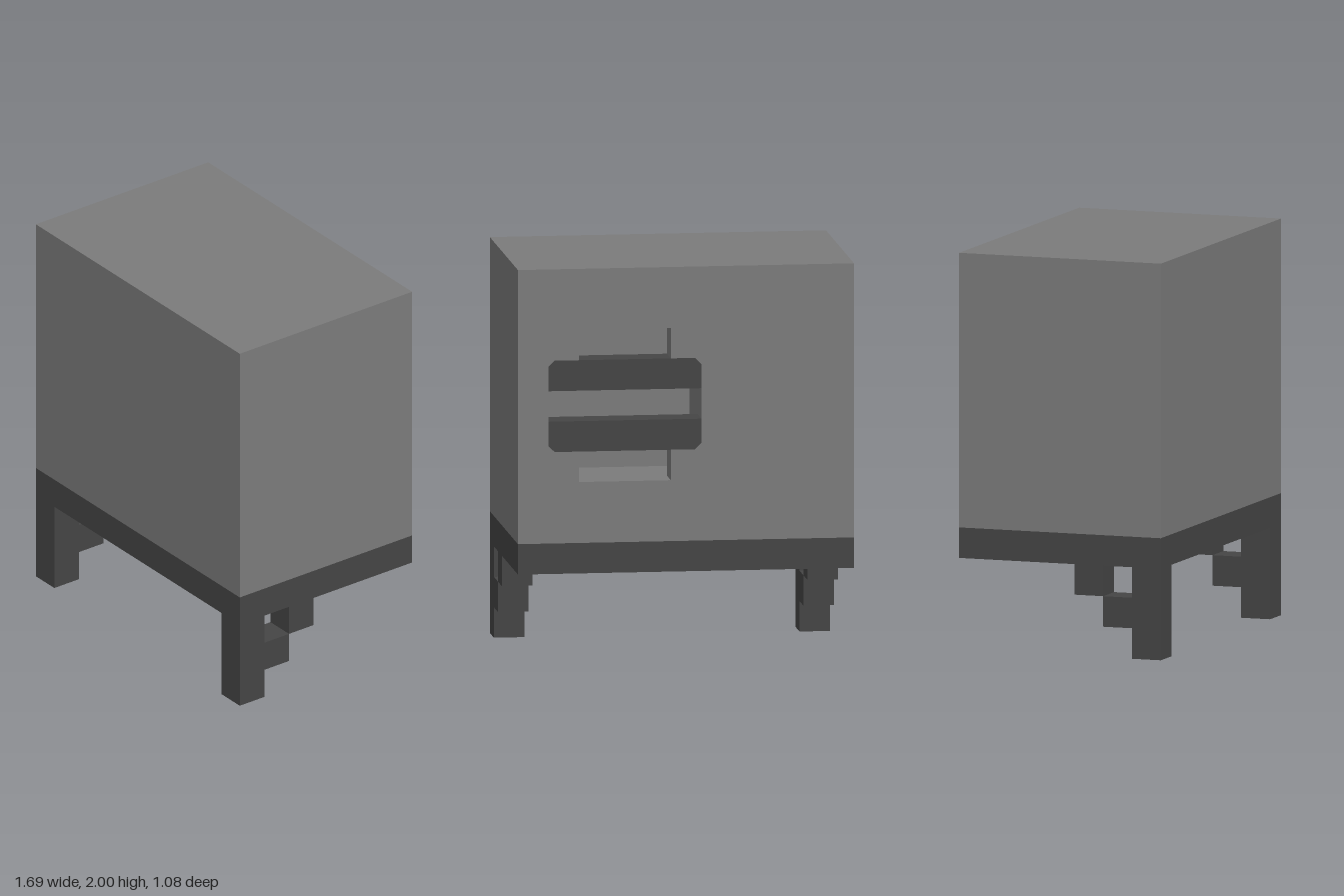
import * as THREE from 'three';

// Everything is laid out on a block grid, 13 blocks tall
const U = 2 / 13;

export function createModel() {
  const casing = new THREE.MeshStandardMaterial({ color: 0x7b7b7b });
  casing.name = 'casing grey';
  const trim = new THREE.MeshStandardMaterial({ color: 0x454545 });
  trim.name = 'dark trim';

  const model = new THREE.Group();
  model.name = 'cabinet';

  const add = (name, geometry, material, parent = model) => {
    const mesh = new THREE.Mesh(geometry, material);
    mesh.name = name;
    parent.add(mesh);
    return mesh;
  };

  // Box given by its low and high corners, in blocks
  const block = (name, [x0, y0, z0], [x1, y1, z1], material, parent) => {
    const g = new THREE.BoxGeometry((x1 - x0) * U, (y1 - y0) * U, (z1 - z0) * U);
    g.translate((x0 + x1) / 2 * U, (y0 + y1) / 2 * U, (z0 + z1) / 2 * U);
    return add(name, g, material, parent);
  };

  // Flat outline extruded from z0 to z1, with an optional hole
  const slab = (name, outline, hole, z0, z1, material) => {
    const pts = (list) => list.map(([x, y]) => new THREE.Vector2(x * U, y * U));
    const shape = new THREE.Shape(pts(outline));
    if (hole) shape.holes.push(new THREE.Path(pts(hole)));
    const g = new THREE.ExtrudeGeometry(shape, { depth: (z1 - z0) * U, bevelEnabled: false });
    g.translate(0, 0, z0 * U);
    return add(name, g, material);
  };

  const rect = (x0, y0, x1, y1) => [[x0, y0], [x1, y0], [x1, y1], [x0, y1]];
  const wall = rect(-5.5, 4, 5.5, 13);

  // Casing: solid front, hollow chamber, then the back wall with its stepped vent
  const c = 0.2;
  const vent = [
    [0.5, 6], [3.5, 6], [3.5, 7], [4.5 - c, 7], [4.5, 7 + c],
    [4.5, 10 - c], [4.5 - c, 10], [3.5, 10], [3.5, 11], [0.5, 11],
    [0.5, 10], [-0.5 + c, 10], [-0.5, 10 - c], [-0.5, 7 + c], [-0.5 + c, 7], [0.5, 7],
  ];
  block('casingFront', [-5.5, 4, -0.5], [5.5, 13, 3.5], casing);
  slab('casingChamber', wall, rect(-0.5, 6, 4.5, 11), -2.5, -0.5, casing);
  slab('casingBack', wall, vent, -3.5, -2.5, casing);

  // Vent slats with clipped outer corners
  slab('upperSlat', [[-0.5, 9], [4.5, 9], [4.5, 10 - c], [4.5 - c, 10], [-0.5 + c, 10], [-0.5, 10 - c]],
    null, -3.5, -2.5, trim);
  slab('lowerSlat', [[-0.5 + c, 7], [4.5 - c, 7], [4.5, 7 + c], [4.5, 8], [-0.5, 8], [-0.5, 7 + c]],
    null, -3.5, -2.5, trim);

  // Base slab
  block('base', [-5.5, 3, -3.5], [5.5, 4, 3.5], trim);

  // Front legs, each with a stepped brace running back to the base
  for (const [side, x] of [['left', 4.5], ['right', -5.5]]) {
    const leg = new THREE.Group();
    leg.name = side + 'Leg';
    model.add(leg);
    block('legPost', [x, 0, 2.5], [x + 1, 3, 3.5], trim, leg);
    block('lowerBrace', [x, 1, 1.5], [x + 1, 2, 2.5], trim, leg);
    block('upperBrace', [x, 2, 0.5], [x + 1, 3, 1.5], trim, leg);
  }

  return model;
}
